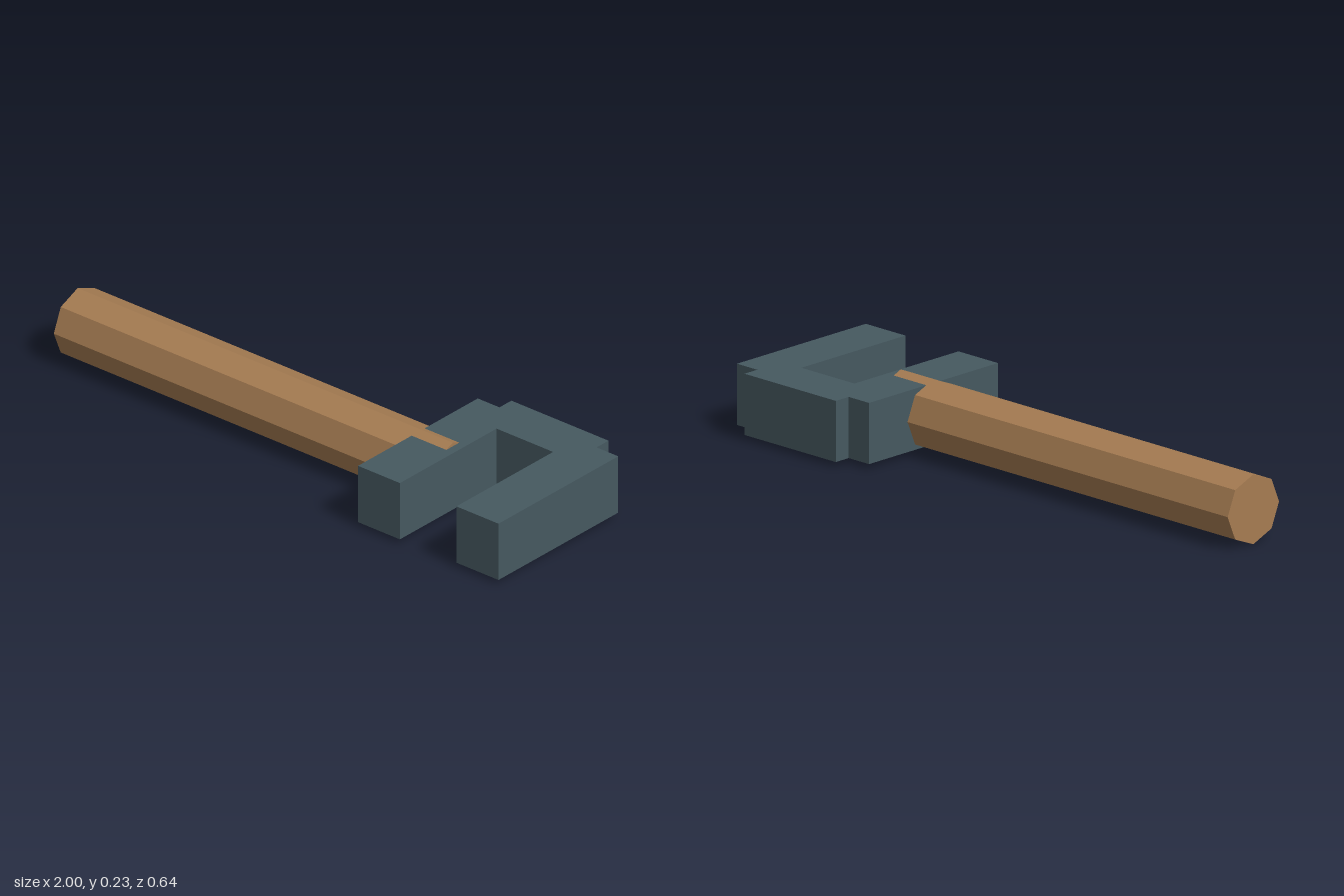
import * as THREE from 'three';

export function createModel() {
  const model = new THREE.Group();
  const wood = new THREE.MeshStandardMaterial({ color: 0xa67c52, flatShading: true });
  wood.name = 'wood';
  const iron = new THREE.MeshStandardMaterial({ color: 0x465960, flatShading: true });
  iron.name = 'iron';

  // Octagonal handle along x, one ridge pointing straight up
  const handleGeometry = new THREE.CylinderGeometry(0.116, 0.116, 1.56, 8);
  handleGeometry.rotateZ(-Math.PI / 2);
  const handle = new THREE.Mesh(handleGeometry, wood);
  handle.name = 'handle';
  handle.position.set(-0.22, 0.116, 0.028);
  model.add(handle);

  // U-shaped head, outlined in plan as [x, z] and extruded upward
  const outline = [
    [0.416, 0.32], [0.59, 0.32], [0.59, -0.15], [0.825, -0.15], [0.825, 0.32], [1, 0.32],
    [1, -0.262], [0.91, -0.262], [0.91, -0.32], [0.506, -0.32], [0.506, -0.262], [0.416, -0.262],
  ];
  const shape = new THREE.Shape(outline.map(([x, z]) => new THREE.Vector2(x, -z)));
  const headGeometry = new THREE.ExtrudeGeometry(shape, { depth: 0.203, bevelEnabled: false });
  headGeometry.rotateX(-Math.PI / 2);
  const head = new THREE.Mesh(headGeometry, iron);
  head.name = 'forkedHead';
  head.position.y = 0.016;
  model.add(head);

  return model;
}
